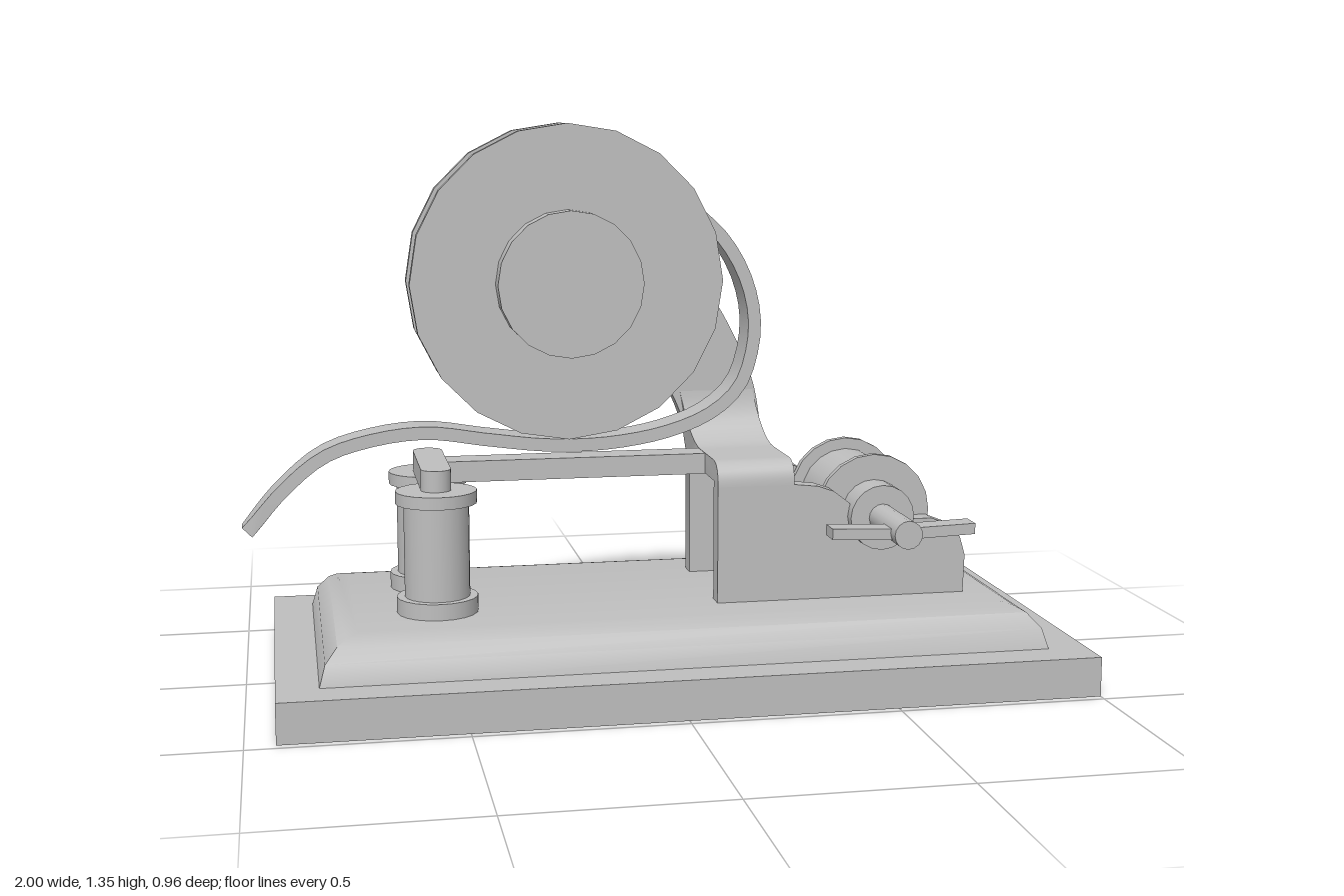
import * as THREE from 'three';
import { toCreasedNormals } from 'three/addons/utils/BufferGeometryUtils.js';

const metal = new THREE.MeshStandardMaterial({ color: 0xbfbfbf });
metal.name = 'greyMetal';

export function createModel() {
  const model = new THREE.Group();
  model.name = 'tapeReelMachine';

  const add = (name, geo, x = 0, y = 0, z = 0) => {
    const mesh = new THREE.Mesh(geo, metal);
    mesh.name = name;
    mesh.position.set(x, y, z);
    model.add(mesh);
    return mesh;
  };
  const shapeOf = (pts) => new THREE.Shape(pts.map((p) => new THREE.Vector2(p[0], p[1])));
  const extrude = (shape, depth) =>
    new THREE.ExtrudeGeometry(shape, { depth, bevelEnabled: false, curveSegments: 8 });
  // Disc or shaft along z, between two z positions
  const rod = (name, r, x, y, z0, z1, sides = 20) =>
    add(name, new THREE.CylinderGeometry(r, r, z1 - z0, sides).rotateX(Math.PI / 2), x, y, (z0 + z1) / 2);
  const box = (name, x0, x1, y0, y1, z0, z1) =>
    add(name, new THREE.BoxGeometry(x1 - x0, y1 - y0, z1 - z0), (x0 + x1) / 2, (y0 + y1) / 2, (z0 + z1) / 2);

  // Base slab and rounded plinth
  box('baseSlab', -0.93, 1, 0, 0.096, -0.48, 0.48);
  const layers = [[0, 0.095], [0.014, 0.145], [0.043, 0.178], [0.065, 0.19], [0.092, 0.196]];
  const pos = [], index = [];
  for (const [inset, y] of layers) {
    const x0 = -0.832 + inset, x1 = 0.904 - inset, z = 0.387 - inset;
    pos.push(x0, y, z, x1, y, z, x1, y, -z, x0, y, -z);
  }
  for (let i = 0; i < layers.length - 1; i++) {
    for (let j = 0; j < 4; j++) {
      const a = i * 4 + j, b = i * 4 + (j + 1) % 4;
      index.push(a, b, b + 4, a, b + 4, a + 4);
    }
  }
  const t = (layers.length - 1) * 4;
  index.push(t, t + 1, t + 2, t, t + 2, t + 3);
  const plinth = new THREE.BufferGeometry();
  plinth.setAttribute('position', new THREE.Float32BufferAttribute(pos, 3));
  plinth.setIndex(index);
  add('plinth', toCreasedNormals(plinth, 0.75));

  // Reel: two flanges, recessed drum and front hub
  const rx = -0.205, ry = 0.966;
  rod('reelFrontFlange', 0.385, rx, ry, -0.017, 0.011);
  rod('reelDrum', 0.352, rx, ry, -0.118, -0.016);
  rod('reelBackFlange', 0.385, rx, ry, -0.145, -0.117);
  rod('reelHub', 0.178, rx, ry, 0.01, 0.066);

  // Cradle edge shared by both side plates
  const cradle = [[0.755, 0.195], [0.758, 0.29], [0.745, 0.335], [0.715, 0.368], [0.67, 0.386],
    [0.5, 0.386], [0.455, 0.435], [0.42, 0.462], [0.38, 0.476], [0.325, 0.482]];

  // Back plate sweeping up into the curved reel arm
  const back = new THREE.Shape();
  back.moveTo(0.13, 0.195);
  cradle.forEach((p) => back.lineTo(p[0], p[1]));
  back.lineTo(0.32, 0.54);
  back.splineThru([[0.295, 0.69], [0.23, 0.84], [0.15, 0.96], [0.05, 1.04], [-0.07, 1.087],
    [-0.19, 1.095], [-0.29, 1.055], [-0.345, 0.98], [-0.345, 0.9], [-0.3, 0.84], [-0.23, 0.82],
    [-0.13, 0.832], [-0.04, 0.805], [0.03, 0.75], [0.09, 0.65], [0.13, 0.54]]
    .map((p) => new THREE.Vector2(p[0], p[1])));
  const backGeo = new THREE.ExtrudeGeometry(back, { depth: 0.048, bevelEnabled: false, curveSegments: 32 });
  add('backPlateAndArm', toCreasedNormals(backGeo, 0.5), 0, 0, -0.193);

  // Front plate
  add('frontPlate', toCreasedNormals(extrude(shapeOf([[0.13, 0.195], ...cradle, [0.13, 0.482]]), 0.048), 0.5), 0, 0, 0.139);

  // Bridge bent over to the front plate, with a fillet rising into the arm
  const bend = new THREE.Shape();
  bend.moveTo(-0.187, 0.475);
  bend.lineTo(-0.187, 0.485);
  bend.quadraticCurveTo(-0.187, 0.541, -0.131, 0.541);
  bend.lineTo(0.02, 0.541);
  bend.quadraticCurveTo(0.14, 0.541, 0.147, 0.69);
  bend.lineTo(0.18, 0.69);
  bend.lineTo(0.18, 0.49);
  bend.lineTo(-0.139, 0.49);
  bend.lineTo(-0.139, 0.475);
  bend.closePath();
  const bridge = extrude(bend, 0.19).rotateY(Math.PI / 2);
  const bp = bridge.attributes.position;
  for (let i = 0; i < bp.count; i++) {
    const rise = Math.max(0, bp.getY(i) - 0.541);
    bp.setX(i, bp.getX(i) + 0.13 - rise * 0.2);
  }
  add('bridge', toCreasedNormals(bridge, 0.5));

  // Two spool posts with a strap and rounded cross bar on top
  const px = -0.543;
  for (const side of [1, -1]) {
    const z = 0.13 * side, label = side > 0 ? 'front' : 'back';
    const disc = (part, r, y0, y1) =>
      add(label + part, new THREE.CylinderGeometry(r, r, y1 - y0, 20), px, (y0 + y1) / 2, z);
    disc('PostFoot', 0.097, 0.195, 0.235);
    disc('PostShaft', 0.078, 0.234, 0.461);
    disc('PostCap', 0.097, 0.46, 0.49);
    disc('CrossBarEnd', 0.036, 0.489, 0.541);
  }
  box('crossBar', px - 0.036, px + 0.036, 0.489, 0.541, -0.13, 0.13);
  box('strap', px, 0.15, 0.489, 0.54, -0.04, 0.04);

  // Tape leaving the reel and curling out past the posts
  const path = new THREE.CatmullRomCurve3([[-0.988, 0.368], [-0.9, 0.47], [-0.8, 0.55], [-0.68, 0.588],
    [-0.55, 0.601], [-0.4, 0.58], [-0.25, 0.562], [-0.1, 0.563], [0.05, 0.588], [0.16, 0.632],
    [0.23, 0.695], [0.262, 0.78], [0.269, 0.87], [0.245, 0.97], [0.19, 1.065], [0.1, 1.15]]
    .map((p) => new THREE.Vector3(p[0], p[1], 0)));
  const upper = [], lower = [];
  for (let i = 0; i <= 48; i++) {
    const p = path.getPointAt(i / 48), d = path.getTangentAt(i / 48);
    upper.push([p.x - d.y * 0.016, p.y + d.x * 0.016]);
    lower.unshift([p.x + d.y * 0.016, p.y - d.x * 0.016]);
  }
  const tape = extrude(shapeOf([...lower, ...upper]), 0.096).translate(0, 0, -0.048);
  const tp = tape.attributes.position;
  for (let i = 0; i < tp.count; i++) {
    const k = Math.min(0.85, Math.max(0, (-0.95 - tp.getX(i)) / 0.055));
    tp.setZ(i, tp.getZ(i) * Math.sqrt(1 - k * k));
  }
  add('tape', toCreasedNormals(tape, 0.5), 0, 0, -0.072);

  // Roller on its axle between the side plates
  const ax = 0.535, ay = 0.398;
  rod('rollerBody', 0.115, ax, ay, -0.112, 0.122);
  rod('rollerFrontFlange', 0.143, ax, ay, 0.12, 0.138);
  rod('rollerBackFlange', 0.143, ax, ay, -0.131, -0.111);
  rod('rollerFrontCollar', 0.08, ax, ay, 0.137, 0.216);
  rod('rollerBackCollar', 0.08, ax, ay, -0.192, -0.13);
  rod('rollerAxle', 0.034, ax, ay, 0.215, 0.42, 16);

  // Wing key on the axle
  const wing = shapeOf([[-0.175, -0.011], [0, -0.018], [0.175, -0.011], [0.175, 0.015],
    [0.03, 0.01], [-0.03, 0.01], [-0.175, 0.015]]);
  add('wingKey', extrude(wing, 0.056), ax, ay, 0.33);

  return model;
}
